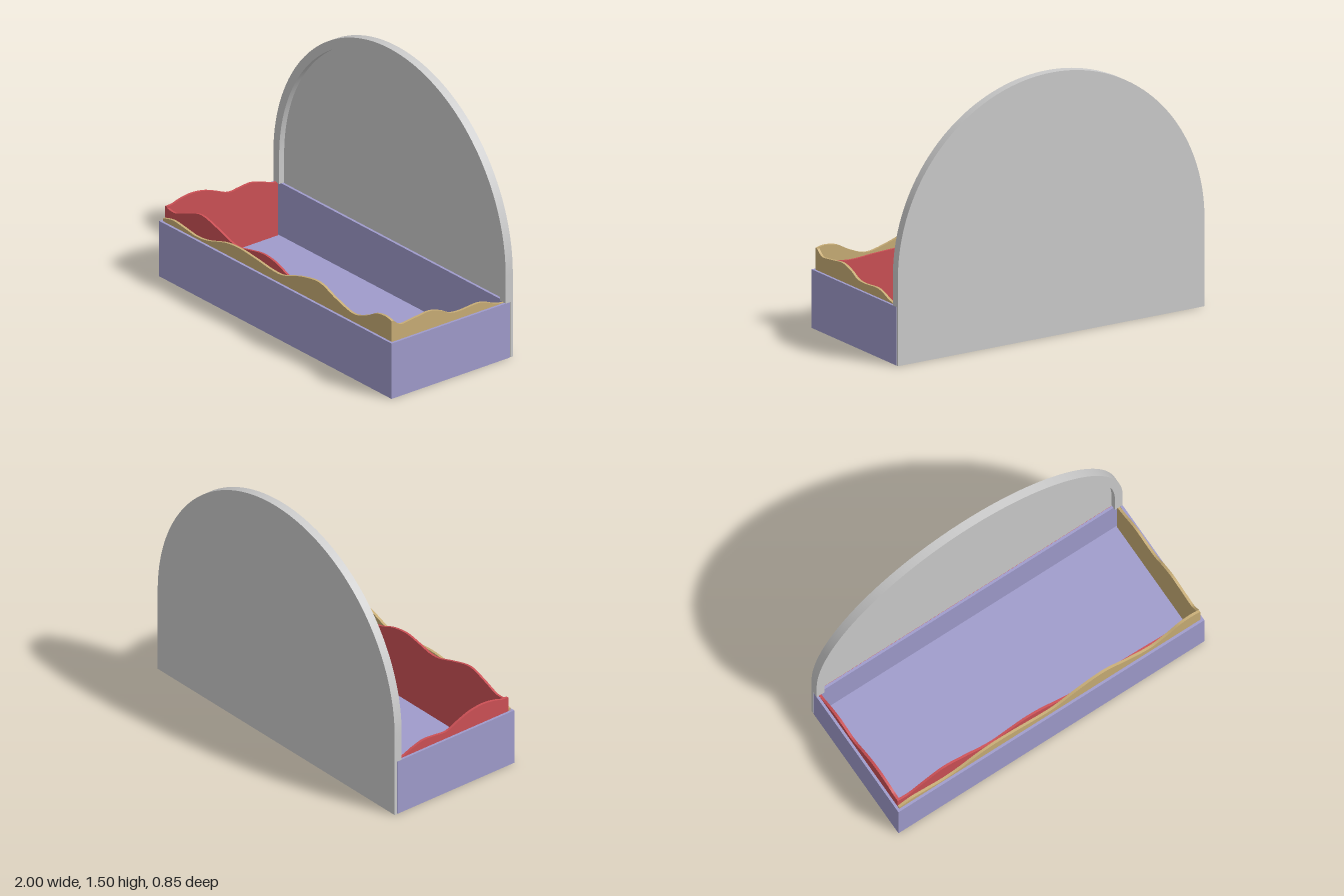
import * as THREE from 'three';
import { toCreasedNormals } from 'three/addons/utils/BufferGeometryUtils.js';

const material = (color) => new THREE.MeshStandardMaterial({ color, side: THREE.DoubleSide });
const WALL = 0.015, BOX_H = 0.333;

export function createModel() {
  const model = new THREE.Group();
  const grey = material(0xcccccc);
  const purple = material(0x9f9bcb);
  const red = material(0xcc5055);
  const tan = material(0xc8ad76);

  function add(name, geometry, mat, x = 0, y = 0, z = 0, parent = model) {
    const mesh = new THREE.Mesh(geometry, mat);
    mesh.name = name;
    mesh.position.set(x, y, z);
    parent.add(mesh);
    return mesh;
  }
  const extrude = (shape, depth) => toCreasedNormals(
    new THREE.ExtrudeGeometry(shape, { depth, bevelEnabled: false, curveSegments: 48 }), 0.5);

  // Open planter box: floor and four thin walls
  const box = new THREE.Group();
  box.name = 'openBox';
  model.add(box);
  const zBack = -0.405, zFront = 0.425, depth = zFront - zBack, zMid = (zFront + zBack) / 2;
  add('floor', new THREE.BoxGeometry(2, WALL, depth), purple, 0, WALL / 2, zMid, box);
  const wallH = BOX_H - WALL, wallY = WALL + wallH / 2;
  for (const s of [-1, 1]) {
    add(s < 0 ? 'rightWall' : 'leftWall', new THREE.BoxGeometry(WALL, wallH, depth),
      purple, s * (1 - WALL / 2), wallY, zMid, box);
    add(s < 0 ? 'backWall' : 'frontWall', new THREE.BoxGeometry(2 - 2 * WALL, wallH, WALL),
      purple, 0, wallY, s < 0 ? zBack + WALL / 2 : zFront - WALL / 2, box);
  }

  // Arched back board: straight sides topped by a half circle
  const board = new THREE.Shape();
  board.moveTo(-1, 0);
  board.lineTo(1, 0);
  board.lineTo(1, 0.5);
  board.absarc(0, 0.5, 1, 0, Math.PI, false);
  board.closePath();
  add('backBoard', extrude(board, 0.015), grey, 0, 0, -0.425);

  // Raised rim around the arch, standing on the box
  const rim = new THREE.Shape();
  rim.moveTo(0.95, BOX_H);
  rim.lineTo(1, BOX_H);
  rim.lineTo(1, 0.5);
  rim.absarc(0, 0.5, 1, 0, Math.PI, false);
  rim.lineTo(-1, BOX_H);
  rim.lineTo(-0.95, BOX_H);
  rim.lineTo(-0.95, 0.5);
  rim.absarc(0, 0.5, 0.95, Math.PI, 0, true);
  rim.closePath();
  add('archRim', extrude(rim, 0.035), grey, 0, 0, -0.41);

  // Thin strip between the box and the back board
  add('backStrip', new THREE.BoxGeometry(1.9, 0.3, 0.005), red, 0, 0.17, -0.4075);

  // Wavy panels: a smooth top line through [position, height] points, down to the floor
  function wavyPanel(points, thickness) {
    const top = new THREE.SplineCurve(points.map(([a, h]) => new THREE.Vector2(a, h))).getPoints(90);
    const shape = new THREE.Shape();
    shape.moveTo(top[0].x, WALL);
    shape.lineTo(top[top.length - 1].x, WALL);
    for (const p of top.reverse()) shape.lineTo(p.x, p.y);
    shape.closePath();
    return extrude(shape, thickness);
  }
  add('frontHillPanel', wavyPanel([[-0.985, 0.35], [-0.9, 0.368], [-0.8, 0.358], [-0.7, 0.346],
    [-0.6, 0.357], [-0.45, 0.4], [-0.33, 0.411], [-0.2, 0.401], [-0.05, 0.384], [0.05, 0.388],
    [0.2, 0.437], [0.36, 0.46], [0.5, 0.415], [0.65, 0.38], [0.76, 0.41], [0.85, 0.455],
    [0.93, 0.467], [0.983, 0.456]], WALL), tan, 0, 0, 0.395);
  add('innerHillPanel', wavyPanel([[-0.97, 0.41], [-0.9, 0.406], [-0.8, 0.443], [-0.68, 0.477],
    [-0.55, 0.45], [-0.42, 0.41], [-0.34, 0.405], [-0.25, 0.423], [-0.14, 0.44], [-0.03, 0.425],
    [0.08, 0.385], [0.22, 0.36], [0.4, 0.375], [0.6, 0.37], [0.78, 0.36], [0.95, 0.385]],
    0.013), red, 0, 0, 0.38);

  // Side panels run along z: shape x is turned to point to the front
  const leftSide = add('leftHillPanel', wavyPanel([[-0.385, 0.335], [-0.36, 0.335], [-0.3, 0.352],
    [-0.25, 0.372], [-0.19, 0.384], [-0.07, 0.377], [0, 0.385], [0.06, 0.415], [0.14, 0.438],
    [0.22, 0.432], [0.3, 0.423], [0.35, 0.422], [0.395, 0.455]], WALL), tan, 0.969);
  const rightSide = add('rightHillPanel', wavyPanel([[-0.385, 0.337], [-0.34, 0.342], [-0.28, 0.365],
    [-0.2, 0.385], [-0.12, 0.38], [-0.04, 0.375], [0.05, 0.41], [0.13, 0.437], [0.22, 0.447],
    [0.3, 0.437], [0.35, 0.423], [0.395, 0.42]], WALL), red, -0.985);
  for (const side of [leftSide, rightSide]) {
    side.rotation.y = -Math.PI / 2;
    side.position.x += WALL;
  }
  return model;
}
